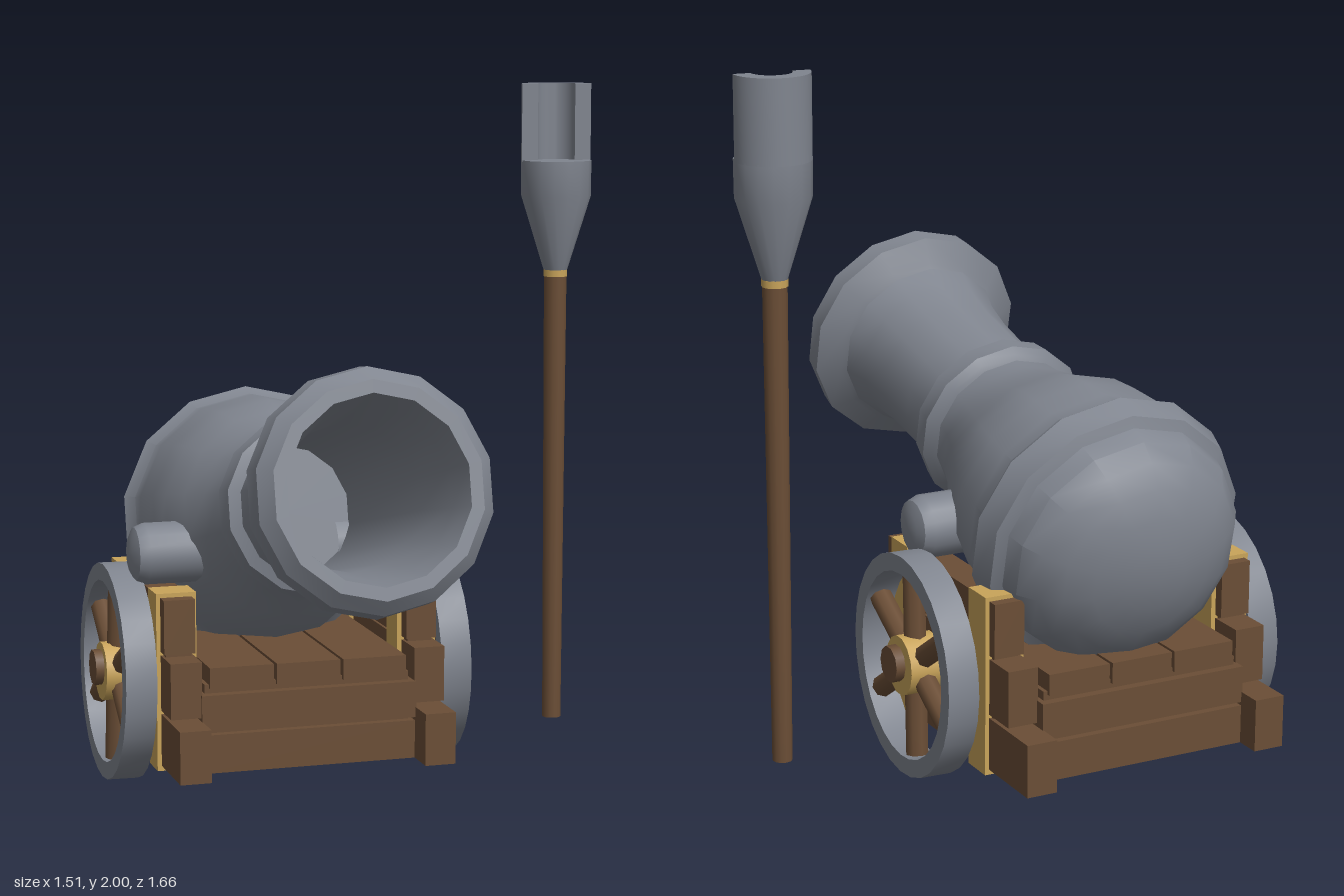
import * as THREE from 'three';
import { toCreasedNormals } from 'three/addons/utils/BufferGeometryUtils.js';

const mat = (name, color) => Object.assign(new THREE.MeshStandardMaterial({ color }), { name });

export function createModel() {
  const iron = mat('iron', 0x80858f);
  const wood = mat('wood', 0x6b4e36);
  const brass = mat('brass', 0xc9a45a);
  const model = new THREE.Group();
  model.name = 'cannonAndStaff';
  const CX = -0.22; // centre line of the cannon

  const add = (parent, name, geometry, material, x = 0, y = 0, z = 0) => {
    const m = new THREE.Mesh(geometry, material);
    m.name = name;
    m.position.set(x, y, z);
    parent.add(m);
    return m;
  };
  // Box given by its min and max on each axis
  const box = (parent, name, material, [x0, x1], [y0, y1], [z0, z1]) =>
    add(parent, name, new THREE.BoxGeometry(x1 - x0, y1 - y0, z1 - z0), material,
      (x0 + x1) / 2, (y0 + y1) / 2, (z0 + z1) / 2);
  const lathe = (pts, sides) => toCreasedNormals(
    new THREE.LatheGeometry(pts.map(([r, y]) => new THREE.Vector2(r, y)), sides), 0.55);
  const rod = (r0, r1, len, sides) => new THREE.CylinderGeometry(r0, r1, len, sides);

  // Barrel: [radius, distance behind the muzzle], from breech to muzzle and down the bore
  const profile = [];
  for (let i = 0; i <= 6; i++) {
    const a = (i / 6) * Math.PI / 2;
    profile.push([0.355 * Math.sin(a), 1.39 + 0.22 * Math.cos(a)]);
  }
  profile.push(
    [0.385, 1.375], [0.402, 1.30], [0.376, 1.265], [0.37, 1.22], [0.355, 1.12], [0.336, 1.03],
    [0.30, 0.95], [0.262, 0.865], [0.238, 0.79], [0.229, 0.73],
    [0.243, 0.72], [0.26, 0.70], [0.25, 0.635], [0.217, 0.62],
    [0.216, 0.5], [0.219, 0.35], [0.232, 0.24], [0.255, 0.16],
    [0.27, 0.15], [0.333, 0.108], [0.326, 0.038], [0.289, 0],
    [0.253, 0], [0.232, 0.1], [0.203, 0.3], [0.195, 0.95], [0, 0.95]);
  const barrel = add(model, 'barrel', lathe(profile.map(([r, t]) => [r, -t]), 14), iron, CX, 0.995, 0.77);
  barrel.rotation.x = Math.PI / 2 - THREE.MathUtils.degToRad(13);

  // Trunnions with rounded ends
  const trunnionPts = [[0.09, 0.15], [0.09, 0.405], [0.078, 0.434], [0.05, 0.447], [0, 0.45]];
  for (const s of [-1, 1]) {
    const t = add(model, 'trunnion', lathe(trunnionPts, 16), iron, CX, 0.675, -0.2);
    t.rotation.z = -s * Math.PI / 2;
  }

  // Carriage: stepped cheeks with brass straps
  const carriage = new THREE.Group();
  carriage.name = 'carriage';
  model.add(carriage);
  const steps = [
    [[0.095, 0.245], [-0.82, 0.205]],
    [[0.255, 0.415], [-0.71, 0.10]],
    [[0.425, 0.58], [-0.63, 0.025]],
  ];
  for (const s of [-1, 1]) {
    const span = (a, b) => [CX + s * a, CX + s * b].sort((p, q) => p - q);
    for (const [y, z] of steps) box(carriage, 'cheekBeam', wood, span(0.312, 0.402), y, z);
    box(carriage, 'cheekCore', wood, span(0.32, 0.394), [0.11, 0.56], [-0.61, 0.01]);
    for (const z of [[-0.12, -0.02], [-0.6, -0.5]])
      box(carriage, 'strap', brass, span(0.298, 0.414), [0.08, 0.592], z);
  }

  // Carriage bed: lower and upper boards, floor planks
  const bedX = [CX - 0.315, CX + 0.315];
  box(carriage, 'lowerBed', wood, bedX, [0.095, 0.205], [-0.745, 0.105]);
  box(carriage, 'upperBed', wood, bedX, [0.215, 0.32], [-0.745, 0.11]);
  box(carriage, 'bedCore', wood, [CX - 0.3, CX + 0.3], [0.11, 0.345], [-0.72, 0.08]);
  for (const i of [-1, 0, 1]) {
    const x = CX + i * 0.195;
    box(carriage, 'floorPlank', wood, [x - 0.093, x + 0.093], [0.335, 0.395], [-0.73, 0.095]);
  }

  // Axle
  const axle = add(model, 'axle', rod(0.052, 0.052, 1.1, 10), wood, CX + 0.012, 0.328, -0.305);
  axle.rotation.z = Math.PI / 2;

  // Wheels: local y is the axle direction
  const tyre = lathe([[0.265, -0.045], [0.315, -0.045], [0.315, 0.045], [0.265, 0.045], [0.265, -0.045]], 28);
  const makeWheel = (x, y, z, yaw, roll) => {
    const pivot = new THREE.Group();
    pivot.name = 'wheel';
    pivot.position.set(x, y, z);
    pivot.rotation.set(0, yaw, Math.PI / 2 + roll);
    add(pivot, 'tyre', tyre, iron);
    add(pivot, 'hub', rod(0.085, 0.085, 0.1, 14), brass);
    for (let i = 0; i < 6; i++) {
      const a = (i / 6) * Math.PI * 2 + 0.06;
      const spoke = add(pivot, 'spoke', rod(0.033, 0.033, 0.22, 8), wood,
        Math.cos(a) * 0.17, 0, Math.sin(a) * 0.17);
      spoke.rotation.set(0, -a, -Math.PI / 2);
    }
    model.add(pivot);
  };
  makeWheel(-0.684, 0.315, -0.305, 0, -0.015);
  makeWheel(0.264, 0.322, -0.315, -0.03, 0.01);

  // Loading staff with a scoop head
  const staff = new THREE.Group();
  staff.name = 'staff';
  staff.position.set(0.65, 0, -0.268);
  model.add(staff);
  add(staff, 'shaft', rod(0.034, 0.028, 1.35, 12), wood, 0, 0.765, 0);
  add(staff, 'collar', rod(0.036, 0.036, 0.02, 12), brass, 0, 1.441, 0);
  add(staff, 'scoopBase', lathe([[0, 1.45], [0.035, 1.45], [0.103, 1.67], [0.104, 1.775], [0, 1.775]], 16), iron);
  const half = new THREE.Shape();
  half.absarc(0, 0, 0.104, 0, Math.PI, false);
  half.absarc(0, 0, 0.056, Math.PI, 0, true);
  half.closePath();
  const shell = new THREE.ExtrudeGeometry(half, { depth: 0.23, bevelEnabled: false, curveSegments: 10 });
  shell.rotateX(-Math.PI / 2);
  add(staff, 'scoopShell', toCreasedNormals(shell, 0.55), iron, 0, 1.77, 0).rotation.y = -0.13;

  return model;
}
